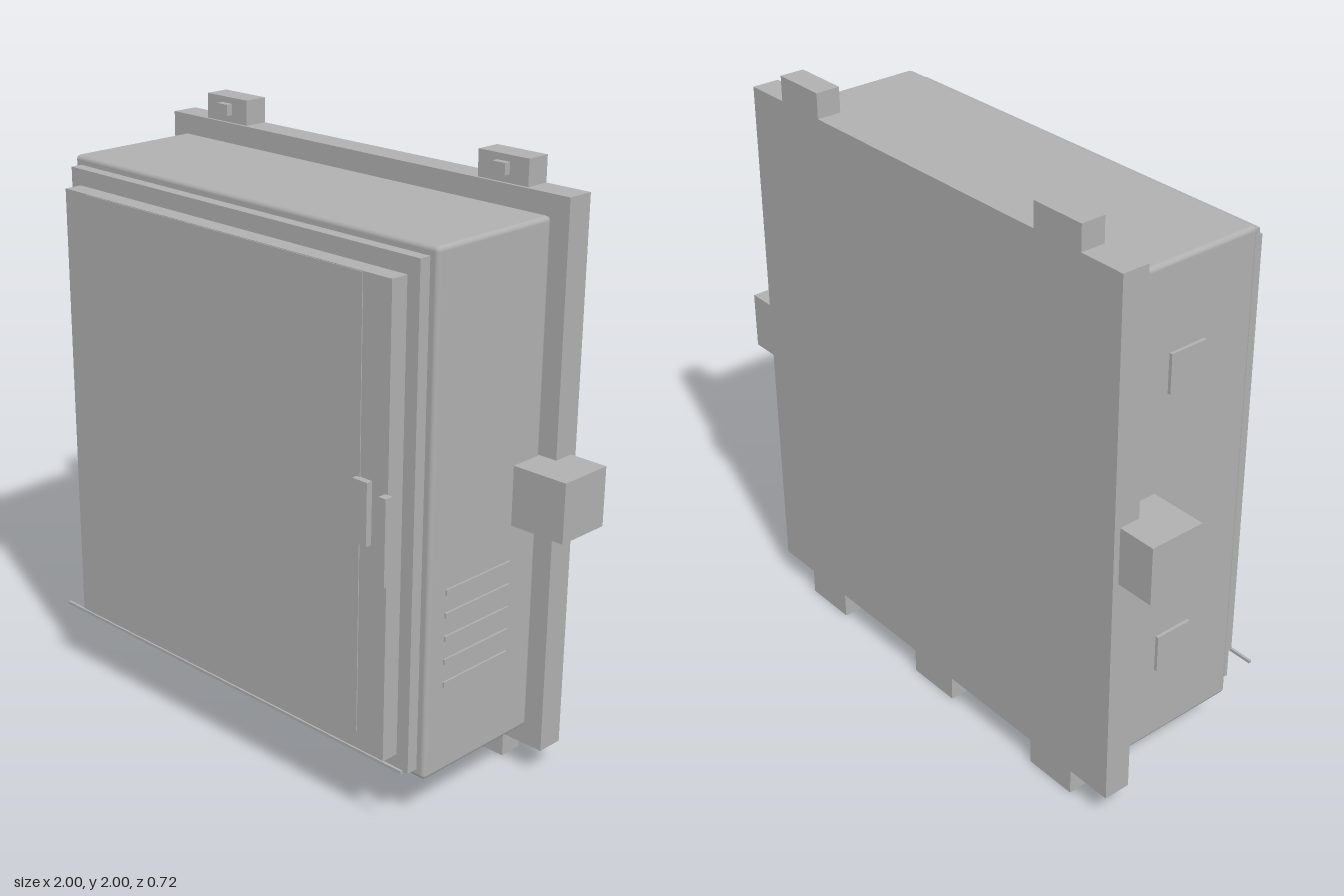
import * as THREE from 'three';
import { RoundedBoxGeometry } from 'three/addons/geometries/RoundedBoxGeometry.js';

export function createModel() {
  const model = new THREE.Group();
  model.name = 'wallCabinet';
  const paintedSteel = new THREE.MeshStandardMaterial({ color: 0xb0b0b0 });
  paintedSteel.name = 'paintedSteel';

  // Box given by its limits on each axis
  function box(name, [x0, x1], [y0, y1], [z0, z1], bevel = 0) {
    const size = [x1 - x0, y1 - y0, z1 - z0];
    const geometry = bevel
      ? new RoundedBoxGeometry(...size, 2, bevel)
      : new THREE.BoxGeometry(...size);
    const mesh = new THREE.Mesh(geometry, paintedSteel);
    mesh.name = name;
    mesh.position.set((x0 + x1) / 2, (y0 + y1) / 2, (z0 + z1) / 2);
    model.add(mesh);
  }

  // Mounting plate and cabinet shell
  box('backPlate', [-0.867, 0.867], [0.09, 1.915], [-0.36, -0.265]);
  box('cabinetBody', [-0.803, 0.803], [0.16, 1.85], [-0.268, 0.228], 0.016);

  // Stepped front: rim, door and door panel
  box('frontRim', [-0.772, 0.772], [0.19, 1.82], [0.2, 0.268]);
  box('door', [-0.728, 0.725], [0.24, 1.765], [0.26, 0.33]);
  box('doorPanel', [-0.62, 0.615], [0.302, 1.763], [0.328, 0.333]);
  box('dripStrip', [-0.812, 0.805], [0.232, 0.242], [0.327, 0.336]);

  // Latch and pull handle
  box('latch', [0.603, 0.662], [0.942, 1.145], [0.328, 0.352]);
  box('pullHandle', [0.714, 0.742], [0.838, 1.12], [0.328, 0.358]);

  // Mounting tabs with bolts, at the four corners of the plate
  for (const side of [-1, 1]) {
    for (const [row, y] of [['lower', 0], ['upper', 1.9]]) {
      const x = side * 0.606;
      box(row + 'MountingTab', [x - 0.097, x + 0.097], [y, y + 0.1], [-0.36, -0.275]);
      const boltY = y ? 1.96 : 0.043;
      box(row + 'Bolt', [x - 0.025, x + 0.025], [boltY - 0.019, boltY + 0.019], [-0.28, -0.252]);
    }
  }

  // Cable entry blocks on both sides and underneath
  box('rightEntryBlock', [-1, -0.79], [0.903, 1.1], [-0.338, -0.142]);
  box('leftEntryBlock', [0.79, 1], [0.903, 1.1], [-0.338, -0.142]);
  box('bottomEntryBlock', [-0.1, 0.1], [0, 0.17], [-0.358, -0.142]);

  // Vent slats on the left side
  for (let i = 0; i < 5; i++) {
    const y = 0.468 + i * 0.0775;
    box('ventSlat', [0.797, 0.809], [y - 0.009, y + 0.009], [-0.14, 0.155]);
  }

  // Hinge covers on the right side
  for (const y of [0.493, 1.493]) {
    box('hingeCover', [-0.814, -0.797], [y - 0.066, y + 0.066], [-0.108, 0.028]);
  }
  return model;
}
